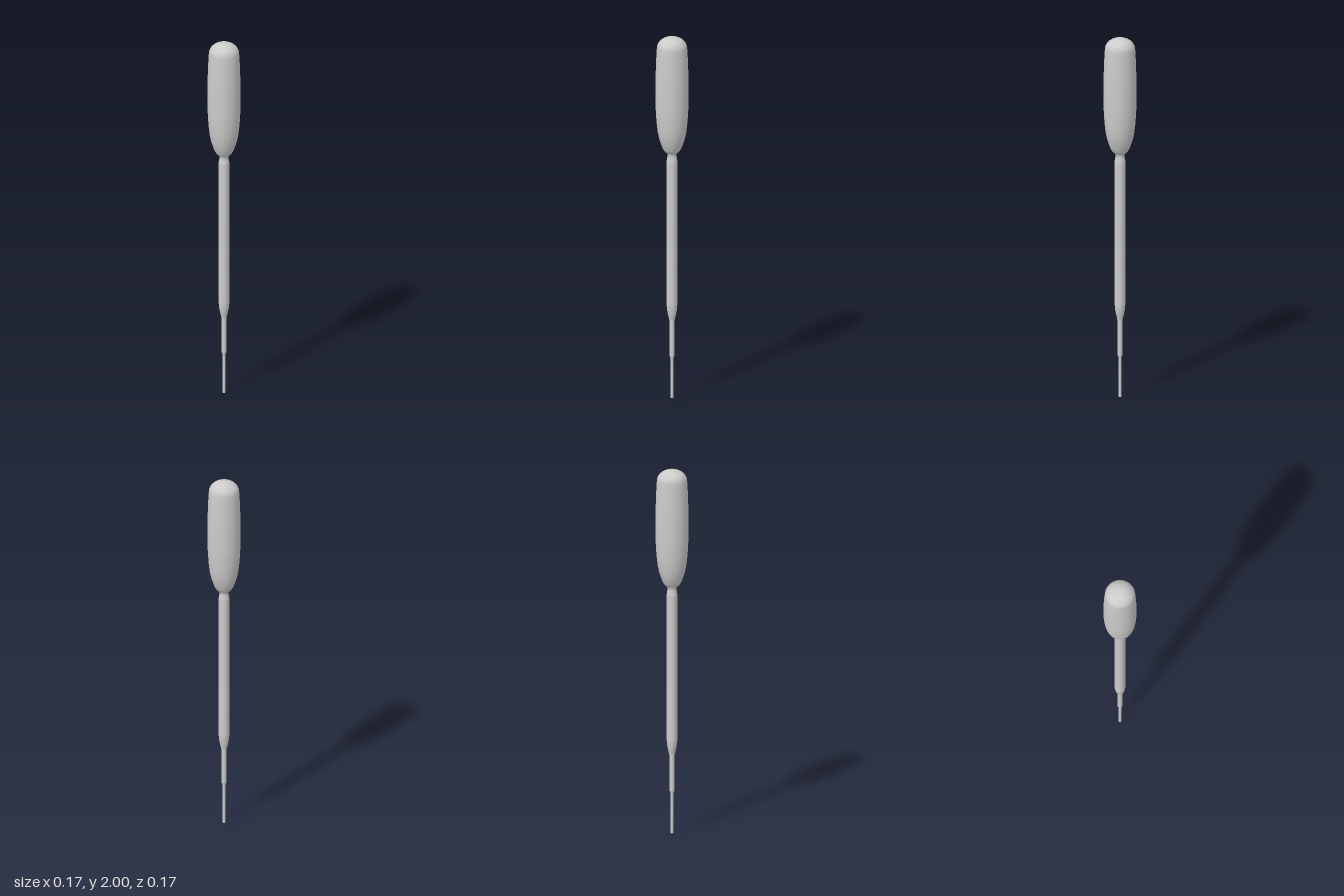
import * as THREE from 'three';

const material = new THREE.MeshStandardMaterial({ color: 0xcccccc, side: THREE.DoubleSide });

// Revolve [radius, height] pairs, listed from bottom to top
function turned(name, profile) {
  const points = profile.map(([r, y]) => new THREE.Vector2(r, y));
  const mesh = new THREE.Mesh(new THREE.LatheGeometry(points, 48), material);
  mesh.name = name;
  return mesh;
}

export function createModel() {
  const group = new THREE.Group();
  group.name = 'dropperPipette';

  // Fine tube, open at the bottom, in two steps
  group.add(turned('tip', [[0.008, 0], [0.0085, 0.14], [0.009, 0.222], [0.013, 0.232]]));
  group.add(turned('lowerTube', [[0.013, 0.232], [0.0135, 0.42], [0.015, 0.435]]));

  // Shoulder widening into the long stem
  group.add(turned('shoulder', [[0.015, 0.435], [0.02, 0.455], [0.025, 0.48], [0.028, 0.51]]));
  group.add(turned('stem', [[0.028, 0.51], [0.0285, 1.31]]));

  // Slightly pinched neck below the bulb
  group.add(turned('neck', [[0.0285, 1.31], [0.027, 1.325], [0.024, 1.338], [0.024, 1.348], [0.028, 1.358]]));

  // Squeeze bulb: flared base, straight grip, slight taper and domed top
  const bulb = [
    [0.028, 1.358], [0.038, 1.365], [0.048, 1.38], [0.058, 1.405], [0.068, 1.437],
    [0.075, 1.47], [0.08, 1.51], [0.084, 1.56], [0.087, 1.62], [0.087, 1.76],
    [0.085, 1.84], [0.082, 1.91],
  ];
  const domeSteps = 12;
  for (let i = 0; i <= domeSteps; i++) {
    const a = (i / domeSteps) * Math.PI / 2;
    bulb.push([i === domeSteps ? 0 : 0.08 * Math.cos(a), 1.938 + 0.062 * Math.sin(a)]);
  }
  group.add(turned('bulb', bulb));

  return group;
}
